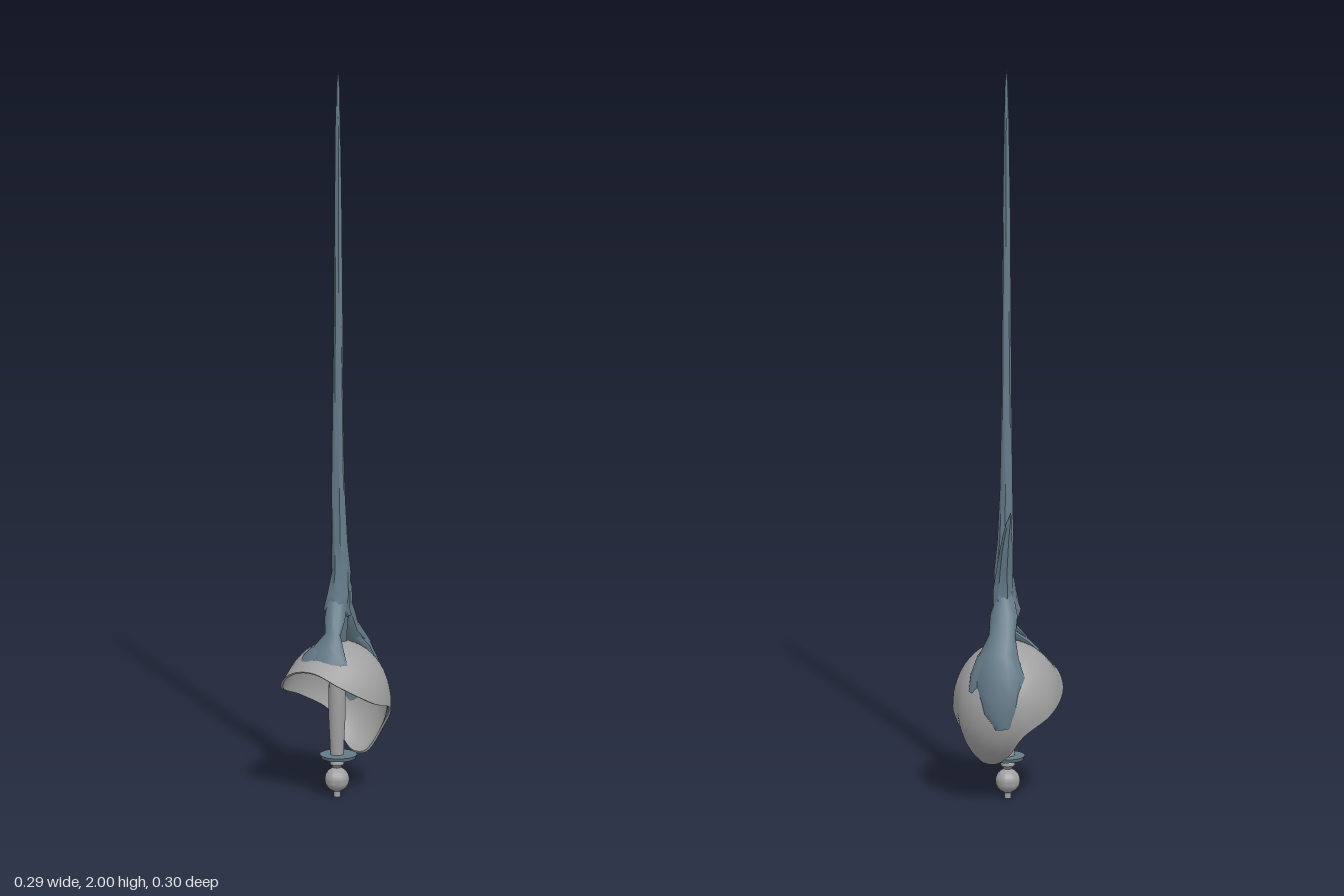
import * as THREE from 'three';
import { toCreasedNormals } from 'three/addons/utils/BufferGeometryUtils.js';

const steel = new THREE.MeshStandardMaterial({ color: 0xa0a0a0, side: THREE.DoubleSide });
steel.name = 'grey steel';
const slate = new THREE.MeshStandardMaterial({ color: 0x647b88, side: THREE.DoubleSide });
slate.name = 'slate blue';

const V = (x, y, z) => new THREE.Vector3(x, y, z);

// Skin a list of rings (arrays of Vector3); rings are closed loops
function skin(rings, { caps = false, loop = false, crease = 0.7 } = {}) {
  const n = rings[0].length, m = rings.length, pos = [], idx = [];
  rings.flat().forEach(p => pos.push(p.x, p.y, p.z));
  for (let i = 0; i < (loop ? m : m - 1); i++) {
    for (let j = 0; j < n; j++) {
      const k = (j + 1) % n, i2 = (i + 1) % m;
      const a = i * n + j, b = i * n + k, c = i2 * n + k, d = i2 * n + j;
      idx.push(a, b, c, a, c, d);
    }
  }
  if (caps) {
    for (let j = 1; j < n - 1; j++) {
      idx.push(0, j + 1, j);
      idx.push((m - 1) * n, (m - 1) * n + j, (m - 1) * n + j + 1);
    }
  }
  const g = new THREE.BufferGeometry();
  g.setAttribute('position', new THREE.Float32BufferAttribute(pos, 3));
  g.setIndex(idx);
  return toCreasedNormals(g, crease);
}

function add(group, name, geometry, material) {
  const mesh = new THREE.Mesh(geometry, material);
  mesh.name = name;
  group.add(mesh);
}

// Swept cup whose rim follows an undulating closed curve
function cupGeometry() {
  const rim = new THREE.CatmullRomCurve3([
    V(0.145, 0.25, 0.02), V(0.105, 0.285, 0.1), V(0.02, 0.34, 0.149),
    V(-0.05, 0.372, 0.13), V(-0.1, 0.366, 0.095), V(-0.138, 0.335, 0.05),
    V(-0.148, 0.295, 0), V(-0.105, 0.25, -0.1), V(-0.03, 0.2, -0.13),
    V(0.005, 0.14, -0.095), V(0.04, 0.108, -0.058), V(0.075, 0.113, -0.04),
    V(0.118, 0.18, -0.025),
  ], true);
  const steps = 14, around = 72, rings = [];
  for (let i = 0; i < around; i++) {
    const p = rim.getPoint(i / around);
    const a = Math.atan2(p.z, p.x), end = Math.acos((p.y - 0.26) / 0.17);
    const flare = Math.hypot(p.x, p.z) - 0.145 * Math.sin(end);
    const side = (inset, t) => {
      const f = end * t;
      const r = (0.145 - inset) * Math.sin(f) + flare * t ** 4;
      return V(r * Math.cos(a), 0.26 + (0.17 - inset) * Math.cos(f), r * Math.sin(a));
    };
    const ring = [];
    for (let s = 0; s <= steps; s++) ring.push(side(0, 0.03 + 0.97 * s / steps));
    for (let s = steps; s >= 0; s--) ring.push(side(0.006, 0.03 + 0.97 * s / steps));
    rings.push(ring);
  }
  return skin(rings, { loop: true, crease: 1 });
}

// Upright irregular stem: rows of [y, x, z, radiusX, radiusZ]
function stemGeometry(rows, sides = 9) {
  return skin(rows.map(([y, x, z, rx, rz], i) =>
    Array.from({ length: sides }, (_, j) => {
      const a = j / sides * Math.PI * 2, k = 1 + 0.08 * Math.sin(j * 2.4 + i * 1.7);
      return V(x + rx * k * Math.cos(a), y, z + rz * k * Math.sin(a));
    })), { caps: true });
}

// Flattened tendril hugging the cup: rows of [x, y, z, halfWidth, halfThickness]
function tendrilGeometry(rows, sides = 12) {
  const pts = rows.map(r => V(r[0], r[1], r[2]));
  return skin(rows.map(([x, y, z, w, h], i) => {
    const tangent = pts[Math.min(i + 1, pts.length - 1)].clone().sub(pts[Math.max(i - 1, 0)]).normalize();
    const out = V(x, (y - 0.26) * 0.7, z);
    out.addScaledVector(tangent, -out.dot(tangent)).normalize();
    const across = tangent.clone().cross(out);
    return Array.from({ length: sides }, (_, j) => {
      const a = j / sides * Math.PI * 2;
      const s = w * Math.cos(a) * (1 + 0.1 * Math.sin(i * 2.1 + j));
      return pts[i].clone().addScaledVector(across, s)
        .addScaledVector(out, h * Math.sin(a) - s * s / 0.28);
    });
  }), { caps: true });
}

export function createModel() {
  const sword = new THREE.Group();
  sword.name = 'sword';

  // Hilt
  const pommel = [[0, 0], [0.009, 0], [0.009, 0.016]];
  for (let i = 1; i <= 13; i++) {
    const a = i / 14 * Math.PI;
    pommel.push([Math.max(0.01, 0.033 * Math.sin(a)), 0.048 - 0.033 * Math.cos(a)]);
  }
  pommel.push([0.013, 0.084], [0.019, 0.09], [0.019, 0.098], [0.014, 0.104], [0.014, 0.112]);
  add(sword, 'pommel', toCreasedNormals(new THREE.LatheGeometry(
    pommel.map(p => new THREE.Vector2(...p)), 24), 0.7), steel);
  const grip = [[0.017, 0.1], [0.019, 0.15], [0.023, 0.23], [0.022, 0.3], [0.02, 0.41]];
  add(sword, 'grip', new THREE.LatheGeometry(grip.map(p => new THREE.Vector2(...p)), 20), steel);
  const disc = new THREE.CylinderGeometry(0.05, 0.046, 0.01, 28);
  disc.translate(0.004, 0.112, 0);
  add(sword, 'hiltDisc', disc, slate);
  add(sword, 'cupGuard', cupGeometry(), steel);

  // Tapering blade
  add(sword, 'blade', stemGeometry([
    [0.41, 0.005, -0.01, 0.02, 0.014], [0.48, 0.002, 0, 0.024, 0.016],
    [0.52, 0.0, 0.003, 0.036, 0.03], [0.56, 0.006, 0.002, 0.031, 0.023],
    [0.62, 0.01, 0.001, 0.026, 0.018], [0.7, 0.006, 0.0, 0.021, 0.016],
    [0.85, 0.004, 0.0, 0.018, 0.014], [1.05, 0.003, 0.002, 0.015, 0.012],
    [1.3, 0.003, 0.003, 0.012, 0.01], [1.6, 0.003, 0.004, 0.01, 0.009],
    [1.85, 0.003, 0.004, 0.007, 0.007], [1.95, 0.003, 0.004, 0.005, 0.005],
    [2, 0.003, 0.004, 0.001, 0.001],
  ]), slate);

  // Thorn rising behind the blade
  add(sword, 'thorn', stemGeometry([
    [0.5, 0.01, -0.012, 0.03, 0.03], [0.57, 0.01, -0.005, 0.028, 0.022],
    [0.63, 0.01, -0.014, 0.022, 0.02], [0.69, 0.007, -0.027, 0.018, 0.022],
    [0.735, 0.004, -0.041, 0.012, 0.014], [0.77, 0.001, -0.056, 0.008, 0.008],
    [0.8, -0.002, -0.068, 0.001, 0.001],
  ], 7), slate);

  // Growth spreading over the cup
  const tendrils = {
    backTendril: [
      [0.008, 0.57, -0.004, 0.022, 0.015], [0.014, 0.51, -0.028, 0.034, 0.025],
      [0.022, 0.46, -0.058, 0.04, 0.026], [0.034, 0.41, -0.088, 0.056, 0.026],
      [0.037, 0.36, -0.112, 0.064, 0.022], [0.037, 0.31, -0.132, 0.055, 0.013],
      [0.034, 0.27, -0.14, 0.042, 0.009], [0.026, 0.225, -0.138, 0.018, 0.006],
    ],
    backSideTendril: [
      [0.035, 0.44, -0.06, 0.022, 0.018], [0.065, 0.4, -0.075, 0.032, 0.018],
      [0.09, 0.355, -0.082, 0.026, 0.012], [0.105, 0.315, -0.085, 0.008, 0.006],
    ],
    frontTendril: [
      [0.0, 0.55, 0.008, 0.024, 0.014], [-0.004, 0.5, 0.034, 0.026, 0.015],
      [-0.008, 0.46, 0.05, 0.024, 0.014], [-0.018, 0.425, 0.064, 0.044, 0.014],
      [-0.024, 0.398, 0.082, 0.054, 0.011], [-0.034, 0.372, 0.098, 0.032, 0.006],
    ],
    frontSideTendril: [
      [-0.015, 0.44, 0.045, 0.02, 0.012], [-0.05, 0.413, 0.052, 0.032, 0.012],
      [-0.078, 0.388, 0.052, 0.032, 0.009], [-0.093, 0.37, 0.05, 0.018, 0.005],
    ],
  };
  for (const [name, rows] of Object.entries(tendrils)) add(sword, name, tendrilGeometry(rows), slate);

  return sword;
}
